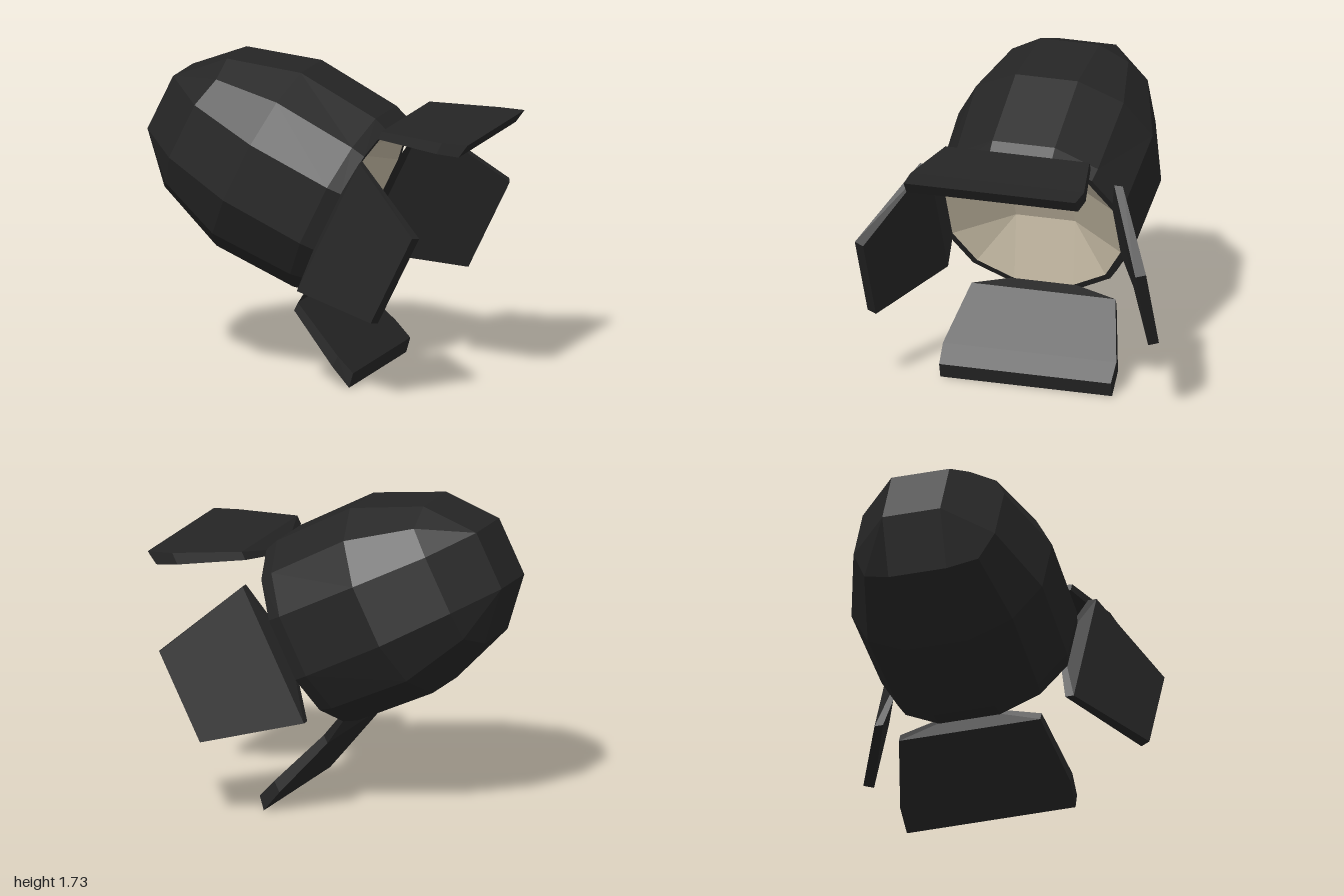
import * as THREE from 'three';

// Skin a series of equal-length rings (counter-clockwise seen from +z, ordered back to front)
function loft(rings, capStart, capEnd) {
  const pos = [];
  const tri = (a, b, c) => {
    const area = new THREE.Vector3().subVectors(b, a).cross(new THREE.Vector3().subVectors(c, a));
    if (area.length() > 1e-6) pos.push(...a.toArray(), ...b.toArray(), ...c.toArray());
  };
  const n = rings[0].length;
  for (let i = 0; i < rings.length - 1; i++) {
    for (let j = 0; j < n; j++) {
      const k = (j + 1) % n, p = rings[i], q = rings[i + 1];
      tri(p[j], p[k], q[k]);
      tri(p[j], q[k], q[j]);
    }
  }
  const first = rings[0], last = rings[rings.length - 1];
  for (let j = 1; j < n - 1; j++) {
    if (capStart) tri(first[0], first[j + 1], first[j]);
    if (capEnd) tri(last[0], last[j], last[j + 1]);
  }
  const geo = new THREE.BufferGeometry();
  geo.setAttribute('position', new THREE.Float32BufferAttribute(pos, 3));
  geo.computeVertexNormals();
  return geo;
}

// Twelve-point rounded square: a = half flat side, b = reach of the sides, c = diagonal corner
function ring(z, a, b, c, cornerZ = z) {
  const pts = [];
  for (let q = 0; q < 4; q++) {
    for (const [x, y, d] of [[b, -a, z], [b, a, z], [c, c, cornerZ]]) {
      const p = new THREE.Vector3(x, y, d);
      pts.push(p.applyAxisAngle(new THREE.Vector3(0, 0, 1), q * Math.PI / 2));
    }
  }
  return pts;
}

// Door leaf above the rim; rows are [forward, inner height, outer height, half width]
function doorGeometry(rows) {
  return loft(rows.map(([f, lo, hi, w, fOut = f]) => [
    new THREE.Vector3(-w, lo, f), new THREE.Vector3(w, lo, f),
    new THREE.Vector3(w, hi, fOut), new THREE.Vector3(-w, hi, fOut),
  ]), true, true);
}

export function createModel() {
  const black = new THREE.MeshStandardMaterial({ color: 0x252525, flatShading: true });
  black.name = 'matte black';
  const beige = new THREE.MeshStandardMaterial({ color: 0xc4b9a3, flatShading: true });
  beige.name = 'warm reflector';

  const model = new THREE.Group();
  model.name = 'spotlight';

  // Lamp head: turned 45 degrees and tipped downwards
  const head = new THREE.Group();
  head.name = 'lampHead';
  head.rotation.set(THREE.MathUtils.degToRad(26), Math.PI / 4, 0, 'YXZ');
  head.position.set(-0.021, 0.945, -0.021);
  model.add(head);

  const add = (name, geo, material) => {
    const mesh = new THREE.Mesh(geo, material);
    mesh.name = name;
    head.add(mesh);
    return mesh;
  };

  // Housing, from the small back plate to the inner edge of the rim
  const innerRim = ring(0, 0.17, 0.485, 0.37);
  add('housing', loft([
    ring(-1.21, 0.17, 0.17, 0.17),
    ring(-0.98, 0.17, 0.415, 0.335, -0.95),
    ring(-0.57, 0.18, 0.56, 0.425),
    ring(-0.08, 0.18, 0.545, 0.41),
    ring(0, 0.18, 0.52, 0.395),
    innerRim,
  ], true, false), black);

  // Shallow reflector dish
  add('reflector', loft([innerRim, ring(-0.19, 0.17, 0.17, 0.17)], false, true), beige);

  // Wide doors at top and bottom, narrowing doors at the sides
  const wide = doorGeometry([
    [0, 0.485, 0.52, 0.19],
    [0.03, 0.53, 0.58, 0.415],
    [0.38, 0.655, 0.725, 0.5],
    [0.5, 0.70, 0.785, 0.495, 0.515],
  ]);
  const narrow = doorGeometry([
    [0, 0.485, 0.52, 0.19],
    [0.03, 0.535, 0.585, 0.415],
    [0.56, 0.785, 0.84, 0.275, 0.535],
  ]);
  const names = ['topDoor', 'rightDoor', 'bottomDoor', 'leftDoor'];
  names.forEach((name, i) => {
    add(name, i % 2 ? narrow : wide, black).rotation.z = i * Math.PI / 2;
  });

  return model;
}
